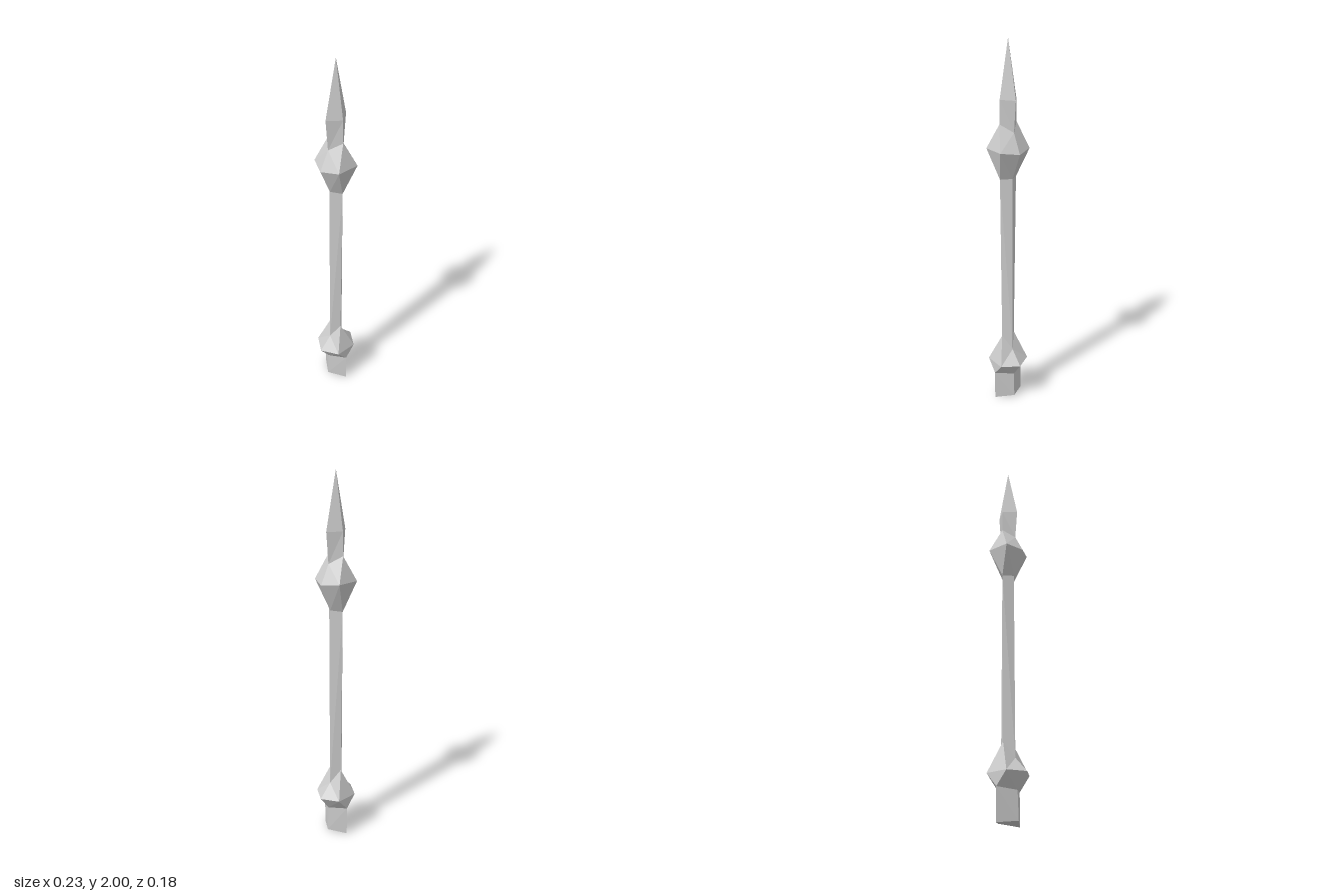
import * as THREE from 'three';

// Six-point cross-section: side points (+-x, ys, 0) and front/back points (+-w, yf, +-z).
// With w = 0 the section is a diamond, otherwise a hexagon.
const section = (x, ys, w, yf, z) => ({
  w,
  points: [[x, ys, 0], [w, yf, z], [-w, yf, z], [-x, ys, 0], [-w, yf, -z], [w, yf, -z]]
    .map((p) => new THREE.Vector3(...p)),
});

const foot = section(0.062, 0.012, 0, 0, 0.09);
const footTop = section(0.056, 0.155, 0, 0.165, 0.09);
const lowerRim = section(0.115, 0.235, 0.06, 0.235, 0.09);
const shaftBottom = section(0.044, 0.31, 0, 0.39, 0.04);
const shaftTop = section(0.039, 1.31, 0, 1.305, 0.05);
const upperRim = section(0.1, 1.45, 0.06, 1.462, 0.09);
const neck = section(0.05, 1.55, 0, 1.59, 0.052);
const shoulder = section(0.064, 1.71, 0, 1.71, 0.05);
const tip = section(0, 2, 0, 2, 0);

// Joins successive cross-sections with flat facets; optionally closes the underside.
function loft(sections, capBottom = false) {
  const positions = [];
  const tri = (...corners) => {
    if (new THREE.Triangle(...corners).getArea() < 1e-7) return;
    corners.forEach((p) => positions.push(p.x, p.y, p.z));
  };
  for (let s = 0; s < sections.length - 1; s++) {
    const a = sections[s].points, b = sections[s + 1].points;
    for (let i = 0; i < 6; i++) {
      const j = (i + 1) % 6;
      // Mirrored diagonals running from the diamond's side to the rim's front
      const sideFirst = i % 3 === 0;
      if (sideFirst === (sections[s].w > 0)) {
        tri(a[i], b[i], a[j]);
        tri(a[j], b[i], b[j]);
      } else {
        tri(a[i], b[i], b[j]);
        tri(a[i], b[j], a[j]);
      }
    }
  }
  if (capBottom) {
    const p = sections[0].points;
    tri(p[0], p[1], p[3]);
    tri(p[0], p[3], p[4]);
  }
  const geometry = new THREE.BufferGeometry();
  geometry.setAttribute('position', new THREE.Float32BufferAttribute(positions, 3));
  geometry.computeVertexNormals();
  return geometry;
}

export function createModel() {
  const group = new THREE.Group();
  group.name = 'spear';
  const material = new THREE.MeshStandardMaterial({ color: 0xcccccc, flatShading: true });
  const add = (name, sections, cap) => {
    const mesh = new THREE.Mesh(loft(sections, cap), material);
    mesh.name = name;
    group.add(mesh);
  };

  add('foot', [foot, footTop], true);
  add('lowerCollar', [footTop, lowerRim, shaftBottom]);
  add('shaft', [shaftBottom, shaftTop]);
  add('upperCollar', [shaftTop, upperRim, neck]);
  add('blade', [neck, shoulder, tip]);
  return group;
}
